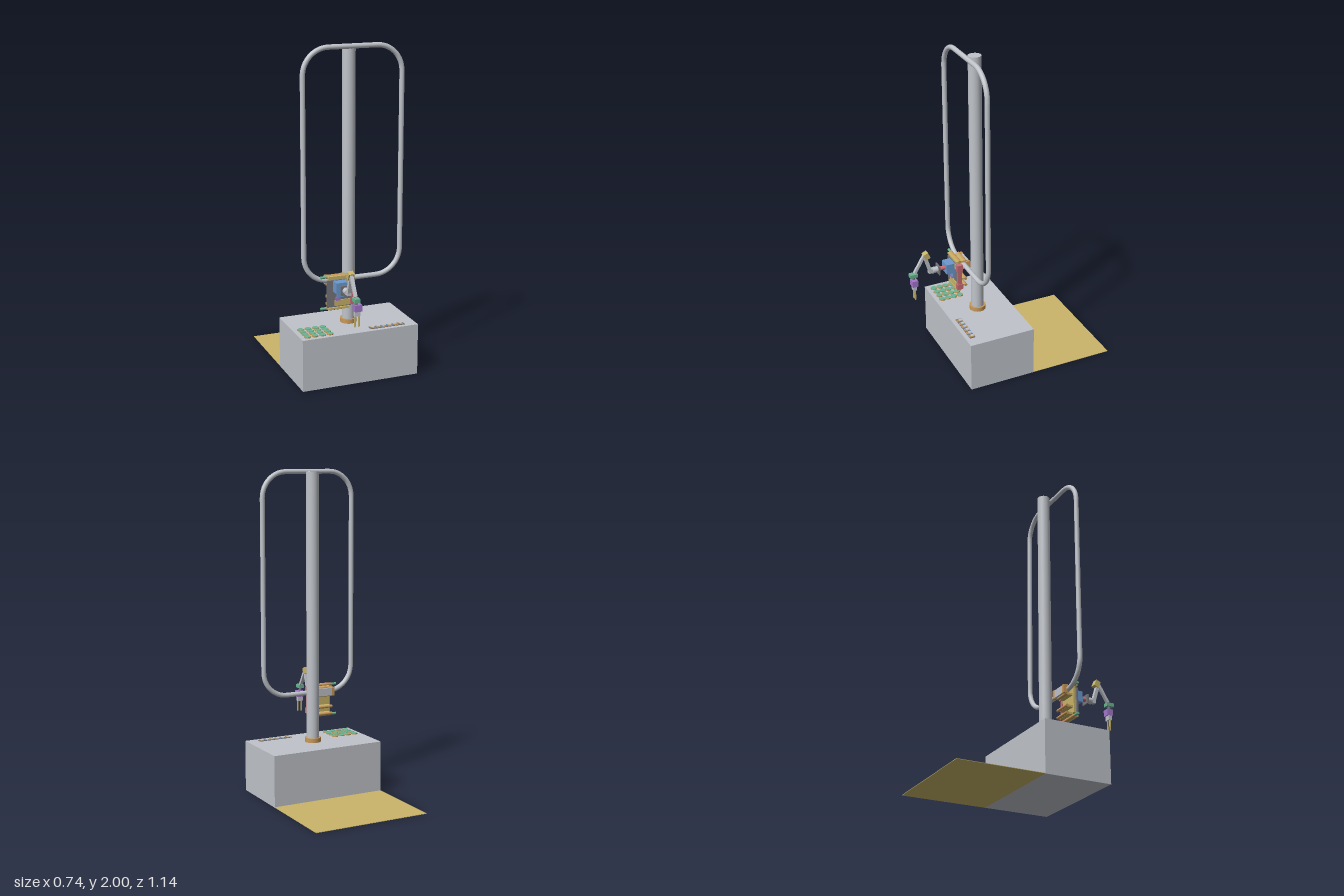
import * as THREE from 'three';

const paint = (name, color) => {
  const m = new THREE.MeshStandardMaterial({ color });
  m.name = name;
  return m;
};

export function createModel() {
  const model = new THREE.Group();
  model.name = 'railRobot';

  const grey = paint('light grey', 0xc0c4ca);
  const sand = paint('sand', 0xcab56a);
  const bronze = paint('bronze', 0xc8995a);
  const dark = paint('dark grey', 0x76767c);
  const red = paint('red', 0xcc6f75);
  const blue = paint('blue', 0x6c9ad0);
  const green = paint('green', 0x6ab592);
  const purple = paint('purple', 0xa377cc);

  const group = (name) => {
    const g = new THREE.Group();
    g.name = name;
    model.add(g);
    return g;
  };
  const add = (parent, name, geo, mat, x, y, z) => {
    const m = new THREE.Mesh(geo, mat);
    m.name = name;
    m.position.set(x, y, z);
    parent.add(m);
    return m;
  };
  // Box given by its extents on each axis
  const box = (parent, name, mat, [x0, x1], [y0, y1], [z0, z1]) =>
    add(parent, name, new THREE.BoxGeometry(x1 - x0, y1 - y0, z1 - z0), mat,
      (x0 + x1) / 2, (y0 + y1) / 2, (z0 + z1) / 2);
  // Cylinder between two points
  const rod = (parent, name, mat, a, b, r, sides = 20) => {
    const p = new THREE.Vector3(...a), q = new THREE.Vector3(...b);
    const m = add(parent, name, new THREE.CylinderGeometry(r, r, p.distanceTo(q), sides), mat, 0, 0, 0);
    m.position.copy(p).add(q).multiplyScalar(0.5);
    m.quaternion.setFromUnitVectors(new THREE.Vector3(0, 1, 0), q.sub(p).normalize());
    return m;
  };

  // Pedestal cabinet and floor mat behind it
  box(model, 'cabinet', grey, [-0.368, 0.368], [0, 0.318], [-0.042, 0.375]);
  box(model, 'floorMat', sand, [-0.368, 0.368], [0, 0.003], [-0.57, -0.042]);

  // Column on its flange
  rod(model, 'column', grey, [0, 0.318, 0.168], [0, 1.985, 0.168], 0.039, 32);
  rod(model, 'columnFlange', bronze, [0, 0.318, 0.168], [0, 0.345, 0.168], 0.05, 32);

  // Closed rail loop with rounded corners
  const hx = 0.305, top = 1.985, bottom = 0.615, r = 0.155, railZ = 0.23;
  const corners = [
    [hx - r, top - r, 0], [-hx + r, top - r, 0.5],
    [-hx + r, bottom + r, 1], [hx - r, bottom + r, 1.5],
  ];
  const points = [];
  for (const [cx, cy, start] of corners) {
    for (let i = 0; i <= 12; i++) {
      const a = (start + i / 24) * Math.PI;
      points.push(new THREE.Vector3(cx + r * Math.cos(a), cy + r * Math.sin(a), railZ));
    }
  }
  const path = new THREE.CurvePath();
  points.forEach((p, i) => path.add(new THREE.LineCurve3(p, points[(i + 1) % points.length])));
  add(model, 'railLoop', new THREE.TubeGeometry(path, 240, 0.015, 16, true), grey, 0, 0, 0);
  for (const y of [top, bottom]) {
    rod(model, 'railBracket', grey, [0, y - 0.008, 0.19], [0, y - 0.008, railZ], 0.01);
  }

  // Carriage hanging from the lower rail
  const carriage = group('carriage');
  box(carriage, 'frontPlate', dark, [-0.182, -0.03], [0.465, 0.63], [0.276, 0.286]);
  box(carriage, 'innerPlate', sand, [-0.17, -0.042], [0.475, 0.64], [0.262, 0.276]);
  box(carriage, 'cornerPad', sand, [-0.068, -0.038], [0.598, 0.63], [0.286, 0.29]);
  box(carriage, 'lowerPad', sand, [-0.135, -0.04], [0.472, 0.508], [0.286, 0.292]);
  box(carriage, 'lowerBlock', blue, [-0.122, -0.075], [0.525, 0.563], [0.286, 0.296]);
  box(carriage, 'lowerBlockTip', purple, [-0.13, -0.1], [0.505, 0.525], [0.286, 0.294]);
  box(carriage, 'sideDrive', red, [-0.036, -0.012], [0.472, 0.505], [0.255, 0.294]);
  box(carriage, 'sideDriveTop', red, [-0.036, -0.012], [0.595, 0.64], [0.255, 0.294]);
  box(carriage, 'sideDriveBar', red, [-0.034, -0.016], [0.505, 0.595], [0.262, 0.288]);
  // Rollers above and below with coloured shaft ends
  for (const y of [0.648, 0.455]) {
    rod(carriage, 'roller', bronze, [-0.18, y, 0.265], [-0.04, y, 0.265], 0.01);
    rod(carriage, 'rollerEnd', green, [-0.215, y, 0.265], [-0.18, y, 0.265], 0.008);
    box(carriage, 'rollerRail', sand, [-0.175, -0.04], [y - 0.006, y + 0.006], [0.272, 0.288]);
  }
  // Clamp behind the rail
  for (const y of [0.59, 0.638, 0.515, 0.47]) {
    rod(carriage, 'clampRoller', bronze, [-0.165, y, 0.222], [-0.05, y, 0.222], 0.009);
    box(carriage, 'clampArm', sand, [-0.16, -0.055], [y - 0.006, y + 0.006], [0.23, 0.262]);
  }
  box(carriage, 'clampPlate', grey, [-0.15, -0.06], [0.59, 0.638], [0.197, 0.21]);
  for (const x of [-0.16, -0.05]) {
    box(carriage, 'clampCheek', bronze, [x - 0.01, x + 0.01], [0.588, 0.64], [0.195, 0.222]);
  }

  // Shoulder stack reaching forward
  const arm = group('arm');
  const ax = -0.106;
  box(arm, 'motorBlock', blue, [-0.144, -0.07], [0.562, 0.628], [0.286, 0.34]);
  rod(arm, 'motorShaft', red, [ax, 0.595, 0.34], [ax, 0.595, 0.378], 0.013);
  box(arm, 'mountingDisc', dark, [-0.136, -0.076], [0.566, 0.624], [0.378, 0.387]);
  rod(arm, 'shoulder', grey, [ax, 0.595, 0.387], [ax, 0.595, 0.42], 0.02);
  box(arm, 'shoulderFork', grey, [-0.119, -0.093], [0.582, 0.61], [0.42, 0.447]);

  // Bent arm in the y-z plane
  const limb = (name, mat, y0, z0, y1, z1, w, t) => {
    const m = add(arm, name, new THREE.BoxGeometry(w, Math.hypot(y1 - y0, z1 - z0), t), mat,
      ax, (y0 + y1) / 2, (z0 + z1) / 2);
    m.rotation.x = Math.atan2(z1 - z0, y1 - y0);
  };
  limb('upperArm', grey, 0.59, 0.434, 0.698, 0.466, 0.024, 0.02);
  limb('elbow', sand, 0.69, 0.45, 0.728, 0.466, 0.036, 0.032);
  limb('forearm', grey, 0.712, 0.472, 0.605, 0.536, 0.02, 0.016);

  // Wrist and gripper
  box(arm, 'wrist', green, [-0.123, -0.089], [0.58, 0.602], [0.522, 0.57]);
  rod(arm, 'wristPin', dark, [ax, 0.56, 0.545], [ax, 0.58, 0.545], 0.009);
  box(arm, 'gripperBody', purple, [-0.119, -0.075], [0.523, 0.563], [0.526, 0.563]);
  box(arm, 'gripperPalm', grey, [-0.118, -0.082], [0.494, 0.523], [0.533, 0.556]);
  for (const x of [-0.113, -0.087]) {
    box(arm, 'gripperFinger', sand, [x - 0.004, x + 0.004], [0.428, 0.494], [0.54, 0.548]);
  }

  // Four by four tray of capped cups
  const tray = group('cupTray');
  for (let i = 0; i < 4; i++) {
    for (let j = 0; j < 4; j++) {
      const x = -0.322 + i * 0.047, z = 0.21 + j * 0.04;
      rod(tray, 'cupRim', bronze, [x, 0.318, z], [x, 0.323, z], 0.0205);
      rod(tray, 'cupCap', green, [x, 0.323, z], [x, 0.325, z], 0.018);
    }
  }

  // Row of six vials
  const rack = group('vialRack');
  box(rack, 'rackBase', dark, [0.072, 0.294], [0.318, 0.321], [0.312, 0.348]);
  for (let i = 0; i < 6; i++) {
    const x = 0.092 + i * 0.0366, z = 0.325;
    box(rack, 'vialSeat', i % 5 ? blue : dark, [x - 0.016, x + 0.016], [0.321, 0.322], [0.313, 0.338]);
    rod(rack, 'vialRim', bronze, [x, 0.322, z], [x, 0.324, z], 0.014);
    rod(rack, 'vialCap', grey, [x, 0.324, z], [x, 0.326, z], 0.011);
    box(rack, 'vialTab', bronze, [x - 0.012, x + 0.012], [0.321, 0.323], [0.34, 0.347]);
  }

  return model;
}
